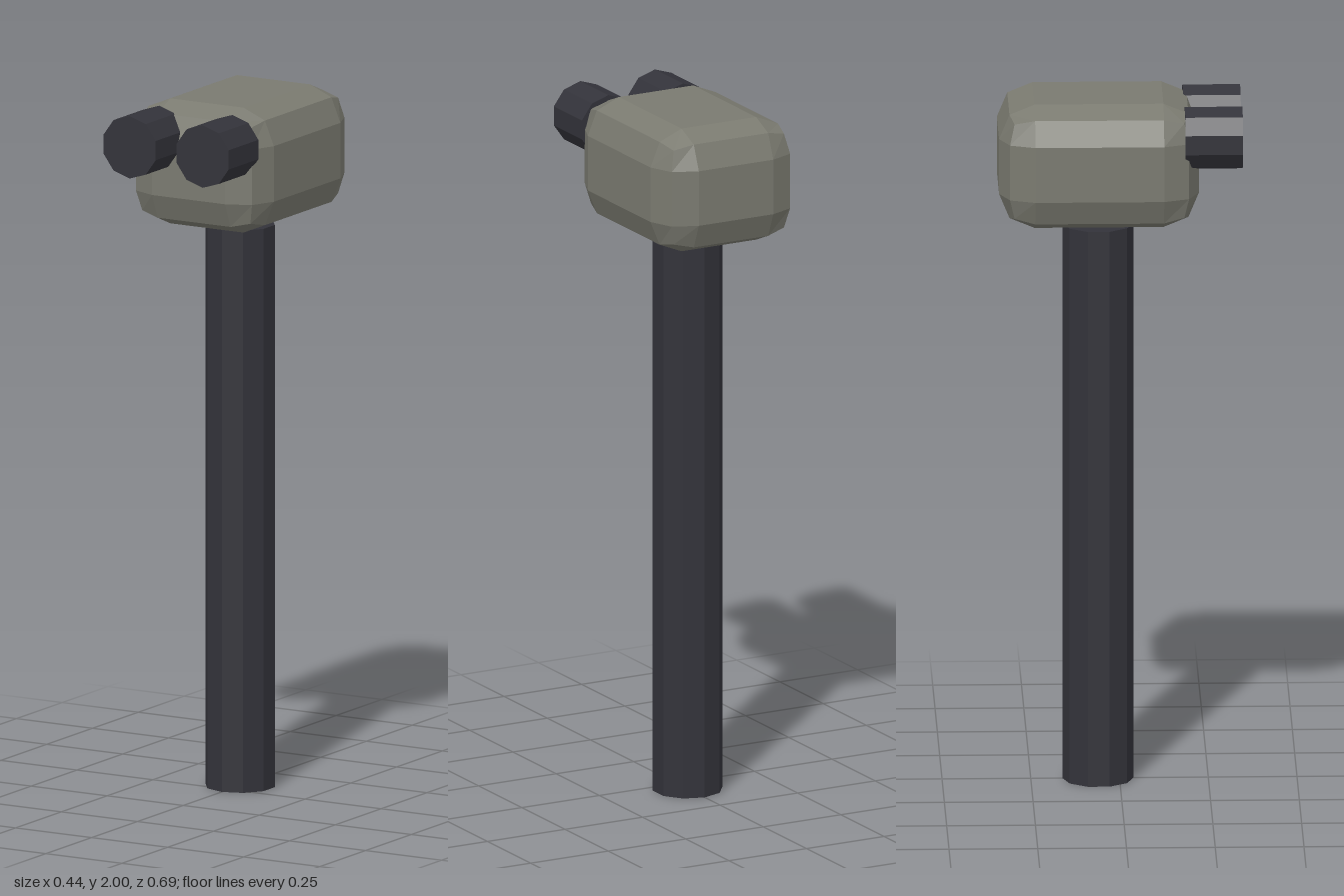
import * as THREE from 'three';
import { RoundedBoxGeometry } from 'three/addons/geometries/RoundedBoxGeometry.js';

export function createModel() {
  const model = new THREE.Group();
  model.name = 'postWithViewer';

  const housingGrey = new THREE.MeshStandardMaterial({ color: 0x7a7a70, flatShading: true });
  housingGrey.name = 'warm grey';
  const darkGrey = new THREE.MeshStandardMaterial({ color: 0x33333a, flatShading: true });
  darkGrey.name = 'dark grey';

  const add = (name, geometry, material, x, y, z) => {
    const mesh = new THREE.Mesh(geometry, material);
    mesh.name = name;
    mesh.position.set(x, y, z);
    model.add(mesh);
  };

  // Ten-sided upright post, ending just below the housing
  add('post', new THREE.CylinderGeometry(0.1, 0.1, 1.62, 10), darkGrey, 0, 0.81, -0.061);

  // Housing with two-facet rounded edges
  add('housing', new RoundedBoxGeometry(0.44, 0.36, 0.563, 1, 0.1), housingGrey, 0, 1.82, -0.061);

  // Pair of forward-facing barrels, sunk slightly into the housing
  const barrel = new THREE.CylinderGeometry(0.09, 0.09, 0.162, 10).rotateX(Math.PI / 2);
  for (const side of [-1, 1]) {
    add(side > 0 ? 'leftBarrel' : 'rightBarrel', barrel, darkGrey, side * 0.12, 1.9, 0.262);
  }

  return model;
}
